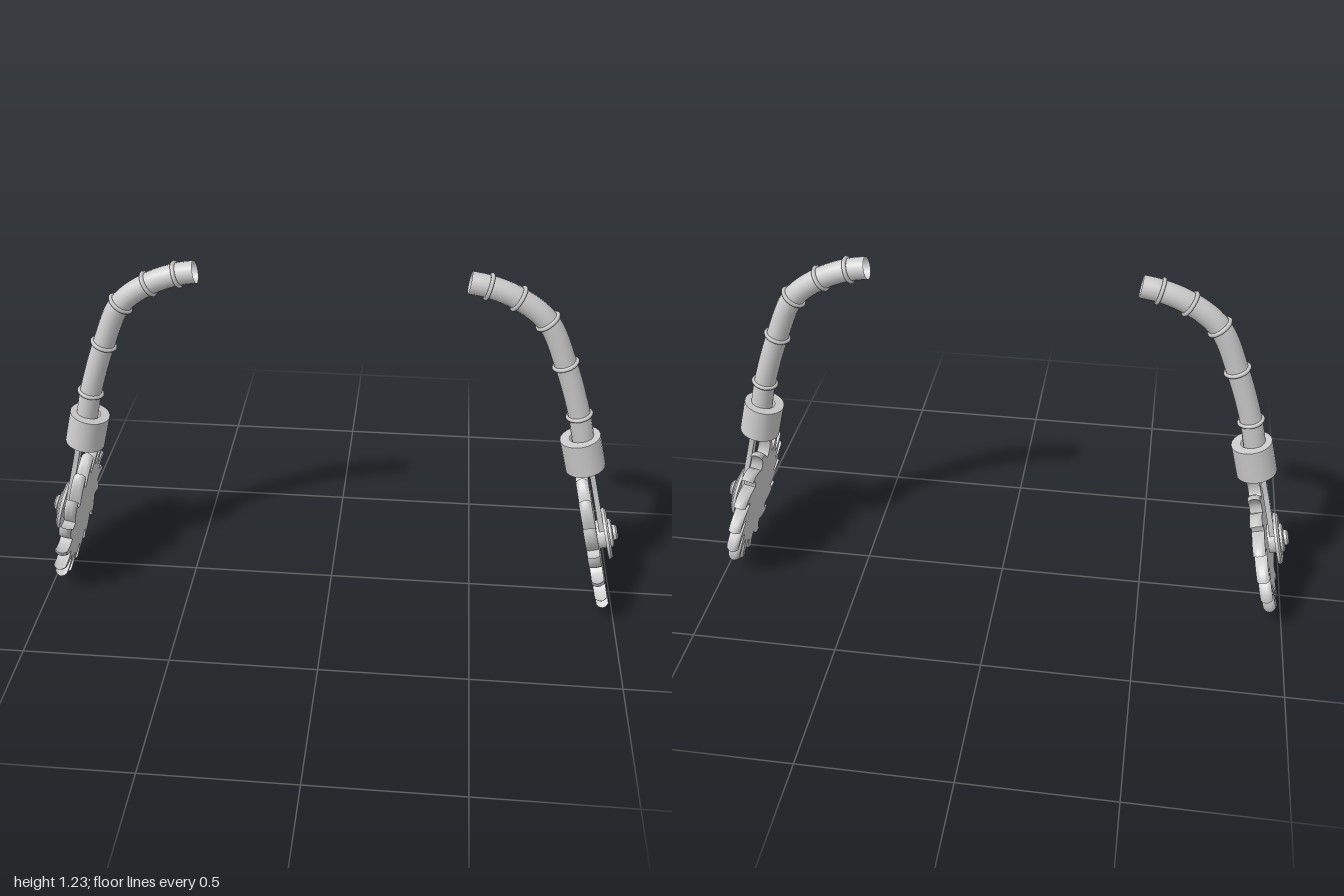
import * as THREE from 'three';
import { toCreasedNormals } from 'three/addons/utils/BufferGeometryUtils.js';

const TILT = THREE.MathUtils.degToRad(14);
const TEETH = 16, ROOT = 0.17, TIP = 0.253, HALF = 0.021;
const material = new THREE.MeshStandardMaterial({ color: 0xcccccc, side: THREE.DoubleSide });

function add(parent, name, geometry) {
  const mesh = new THREE.Mesh(geometry, material);
  mesh.name = name;
  parent.add(mesh);
  return mesh;
}

// Lathe with crisp edges from [radius, height] pairs
function turned(pairs, sides) {
  const pts = pairs.map(([r, y]) => new THREE.Vector2(r, y));
  return toCreasedNormals(new THREE.LatheGeometry(pts, sides), 0.6);
}

// Disc with hooked teeth; handed = 1 or -1 chooses which way they sweep
function bladeGeometry(handed) {
  const at = (deg, r) => {
    const a = THREE.MathUtils.degToRad(deg);
    return [handed * r * Math.cos(a), r * Math.sin(a)];
  };
  const step = 360 / TEETH;
  const shape = new THREE.Shape();
  shape.moveTo(...at(-87, ROOT));
  for (let i = 0; i < TEETH; i++) {
    const t = -87 + i * step;
    shape.quadraticCurveTo(...at(t + 8, 0.2), ...at(t, TIP));
    shape.quadraticCurveTo(...at(t + 11, 0.245), ...at(t + step, ROOT));
  }
  const geo = new THREE.ExtrudeGeometry(shape, {
    depth: 2 * HALF, steps: 6, bevelEnabled: false, curveSegments: 6,
  });
  geo.translate(0, 0, -HALF);
  // Round the teeth across their thickness
  const p = geo.attributes.position;
  for (let i = 0; i < p.count; i++) {
    const r = Math.hypot(p.getX(i), p.getY(i));
    const w = p.getZ(i) / HALF;
    if (r <= ROOT) continue;
    const k = (ROOT + (r - ROOT) * Math.sqrt(1 - 0.3 * w * w)) / r;
    p.setXY(i, p.getX(i) * k, p.getY(i) * k);
  }
  return toCreasedNormals(geo, 0.6);
}

// Blade, hub and strut: local z points outward along the axle, y up the strut
function createSaw(handed) {
  const saw = new THREE.Group();
  saw.name = 'saw';
  add(saw, 'toothedBlade', bladeGeometry(handed));

  const hub = add(saw, 'hub', turned([
    [0.05, 0.015], [0.05, 0.046], [0.09, 0.046], [0.09, 0.056], [0.083, 0.062],
    [0.05, 0.062], [0.05, 0.07], [0.043, 0.074], [0.027, 0.074],
    [0.027, 0.084], [0.018, 0.09], [0, 0.09],
  ], 24));
  hub.rotation.x = Math.PI / 2;

  // Tapered flat strut reaching up into the collar
  const s = new THREE.Shape();
  s.moveTo(-0.038, 0);
  s.lineTo(0.038, 0);
  s.lineTo(0.021, 0.2);
  s.lineTo(0.021, 0.34);
  s.lineTo(-0.021, 0.34);
  s.lineTo(-0.021, 0.2);
  const strut = new THREE.ExtrudeGeometry(s, { depth: 0.018, bevelEnabled: false });
  strut.translate(0, 0, 0.029);
  add(saw, 'strut', strut);

  const c = Math.cos(TILT), n = Math.sin(TILT);
  saw.quaternion.setFromRotationMatrix(new THREE.Matrix4().makeBasis(
    new THREE.Vector3(0, 0, -1), new THREE.Vector3(-n, c, 0), new THREE.Vector3(c, n, 0)));
  saw.position.set(0.912, 0.25, 0);
  return saw;
}

function createArm(handed) {
  const arm = new THREE.Group();

  // Bent hollow tube
  const path = new THREE.CatmullRomCurve3([
    [0.435, 1.198], [0.495, 1.187], [0.59, 1.15], [0.687, 1.075],
    [0.757, 0.925], [0.82, 0.738], [0.845, 0.63],
  ].map(([x, y]) => new THREE.Vector3(x, y, 0)));
  add(arm, 'bentTube', new THREE.TubeGeometry(path, 36, 0.037, 16, false));

  // Bands around the tube
  const forward = new THREE.Vector3(0, 0, 1);
  for (let i = 1; i <= 5; i++) {
    const band = add(arm, 'tubeBand', new THREE.TorusGeometry(0.039, 0.007, 6, 20));
    band.position.copy(path.getPoint(i / 6));
    band.quaternion.setFromUnitVectors(forward, path.getTangent(i / 6));
  }

  // Collar, recessed from below
  const collar = add(arm, 'collar', turned([
    [0, -0.03], [0.055, -0.03], [0.055, -0.06], [0.068, -0.06],
    [0.068, 0.06], [0.036, 0.06],
  ], 20));
  collar.position.set(0.846, 0.594, 0);
  collar.rotation.z = TILT;

  arm.add(createSaw(handed));
  return arm;
}

export function createModel() {
  const model = new THREE.Group();
  model.name = 'sawArms';
  const left = createArm(1);
  left.name = 'leftArm';
  // Half turn with opposite teeth gives the mirror image
  const right = createArm(-1);
  right.name = 'rightArm';
  right.rotation.y = Math.PI;
  model.add(left, right);
  return model;
}
